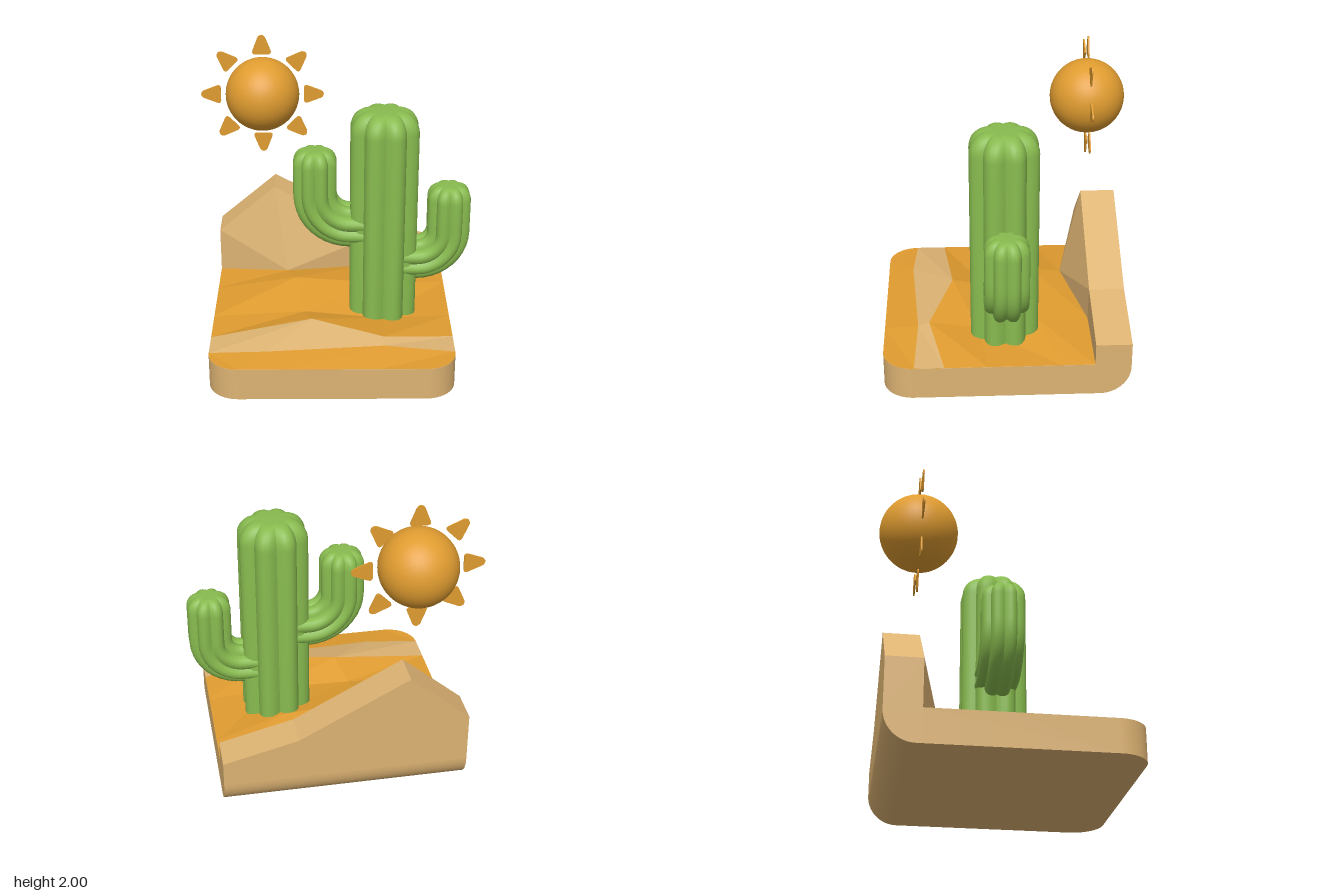
import * as THREE from 'three';
import { toCreasedNormals } from 'three/addons/utils/BufferGeometryUtils.js';

const mat = (name, color, side = THREE.FrontSide) => {
  const m = new THREE.MeshStandardMaterial({ color, side });
  m.name = name;
  return m;
};

// Flat-faced geometry from a list of triangles, each three [x, y, z] corners
function facets(tris) {
  const g = new THREE.BufferGeometry();
  g.setAttribute('position', new THREE.Float32BufferAttribute(tris.flat(2), 3));
  g.computeVertexNormals();
  return g;
}

// Strips between neighbouring rows; rows run from back to front
function terrain(rows) {
  const tris = [];
  for (let r = 0; r < rows.length - 1; r++) {
    for (let c = 0; c < rows[r].length - 1; c++) {
      const a = rows[r][c], b = rows[r][c + 1], d = rows[r + 1][c], e = rows[r + 1][c + 1];
      tris.push([a, d, b], [b, d, e]);
    }
  }
  return facets(tris);
}

// Ribbed limb: rings { x, y, tx, ty, s } swept in the xy plane
function ribbedLimb(rings, radius) {
  const ribs = 8, n = ribs * 6, pos = [], index = [];
  rings.forEach(({ x, y, tx, ty, s }) => {
    for (let i = 0; i < n; i++) {
      const a = (i / n) * Math.PI * 2;
      const rib = Math.abs(Math.sin(a * ribs / 2));
      const r = radius * s * (0.81 + 0.19 * rib);
      pos.push(x + ty * r * Math.cos(a), y - tx * r * Math.cos(a), r * Math.sin(a));
    }
  });
  for (let k = 0; k < rings.length - 1; k++) {
    for (let i = 0; i < n; i++) {
      const j = (i + 1) % n, a = k * n + i, b = k * n + j;
      index.push(a, a + n, b, b, a + n, b + n);
    }
  }
  const g = new THREE.BufferGeometry();
  g.setAttribute('position', new THREE.Float32BufferAttribute(pos, 3));
  g.setIndex(index);
  return toCreasedNormals(g, 0.6);
}

// Upright end of a limb: straight part, then a rounded crown of the given height
function crown(x, y0, top, h) {
  const rings = [{ x, y: y0, tx: 0, ty: 1, s: 1 }];
  for (let i = 0; i <= 8; i++) {
    const a = (i / 8) * Math.PI / 2;
    rings.push({ x, y: top - h + h * Math.sin(a), tx: 0, ty: 1, s: 0.42 + 0.58 * Math.cos(a) });
  }
  rings.push({ x, y: top - 0.006, tx: 0, ty: 1, s: 0 });
  return rings;
}

// Arm leaving the trunk sideways and bending upward around (cx, cy)
function armRings(side, startX, cx, cy, bend, top) {
  const rings = [{ x: startX, y: cy - bend, tx: side, ty: 0, s: 1 }];
  for (let i = 0; i <= 10; i++) {
    const a = (i / 10) * Math.PI / 2;
    rings.push({
      x: cx + side * bend * Math.sin(a), y: cy - bend * Math.cos(a),
      tx: side * Math.cos(a), ty: Math.sin(a), s: 1,
    });
  }
  return rings.concat(crown(cx + side * bend, cy + 0.03, top, 0.1));
}

export function createModel() {
  const model = new THREE.Group();
  model.name = 'desertScene';
  const tan = mat('tan stone', 0xddb373);
  const orange = mat('orange sand', 0xe09c30);
  const green = mat('cactus green', 0x88bb4f);
  const add = (name, geometry, material, parent = model) => {
    const m = new THREE.Mesh(geometry, material);
    m.name = name;
    parent.add(m);
    return m;
  };
  const L = -0.82, R = 0.79, F = 0.83, B = -0.78, W = -0.545, Y = 0.226;

  // Base slab with rounded front corners
  const plan = new THREE.Shape();
  plan.moveTo(L, -W);
  plan.lineTo(L, -F + 0.2);
  plan.absarc(L + 0.2, -F + 0.2, 0.2, Math.PI, Math.PI * 1.5);
  plan.absarc(R - 0.2, -F + 0.2, 0.2, Math.PI * 1.5, Math.PI * 2);
  plan.lineTo(R, -W);
  plan.closePath();
  const slab = new THREE.ExtrudeGeometry(plan, { depth: 0.223, bevelEnabled: false, curveSegments: 8 });
  add('base', toCreasedNormals(slab.rotateX(-Math.PI / 2), 0.6), tan);
  add('sandFloor', new THREE.ShapeGeometry(plan, 8).rotateX(-Math.PI / 2).translate(0, 0.225, 0), orange);

  // Rounded lower back edge
  const heel = new THREE.Shape();
  heel.moveTo(W, 0);
  heel.lineTo(W, 0.2);
  heel.lineTo(B, 0.2);
  heel.absarc(B + 0.2, 0.2, 0.2, Math.PI, Math.PI * 1.5);
  heel.closePath();
  const heelGeo = new THREE.ExtrudeGeometry(heel, { depth: R - L, bevelEnabled: false, curveSegments: 8 });
  add('baseBackEdge', toCreasedNormals(heelGeo.rotateY(-Math.PI / 2).translate(R, 0, 0), 0.6), tan);

  // Mountain wall
  const wall = new THREE.Shape([
    [L, 0.2], [R, 0.2], [R, 0.37], [0.3, 0.495], [-0.42, 0.88], [L, 0.54],
  ].map(([x, y]) => new THREE.Vector2(x, y)));
  add('mountainWall', new THREE.ExtrudeGeometry(wall, { depth: W - B, bevelEnabled: false })
    .translate(0, 0, B), tan);

  // Sloping foot of the mountain
  const foot = [-0.33, 0.285, -0.4], peak = [-0.42, 0.88, W], notch = [0.3, 0.495, W];
  const low = [L, 0.225, W], high = [L, 0.54, W], end = [0.26, 0.225, W];
  add('mountainSlope', facets([
    [low, foot, high], [high, foot, peak], [peak, foot, notch], [notch, foot, end],
  ]), tan);

  // Dunes, with a pale stripe on the front ridge
  const crest = [[L, Y, 0.43], [-0.15, 0.33, 0.37], [0.33, 0.285, 0.53], [R, Y, 0.43]];
  const toe = [[L, Y, 0.63], [-0.45, 0.25, 0.655], [0.33, 0.262, 0.605], [R, Y, 0.625]];
  add('dunes', terrain([
    [[L, Y, W], foot, [0.26, 0.25, W], [R, Y, W]],
    [[L, Y, -0.25], [-0.27, 0.335, -0.2], [0.33, 0.29, -0.2], [R, Y, -0.33]],
    [[L, Y, 0.15], [-0.2, 0.26, 0.15], [0.33, 0.235, 0.2], [R, Y, 0.15]],
    crest,
  ]), orange);
  add('duneStripe', terrain([crest, toe]), tan);
  add('frontDune', terrain([
    toe, [[L + 0.2, Y, F], [-0.3, Y, F], [0.3, Y, F], [R - 0.2, Y, F]],
  ]), orange);

  // Cactus
  const cactus = new THREE.Group();
  cactus.name = 'cactus';
  cactus.position.z = 0.026;
  model.add(cactus);
  add('trunk', ribbedLimb(crown(0.333, 0.2, 1.685, 0.14), 0.238), green, cactus);
  add('leftArm', ribbedLimb(armRings(1, 0.4, 0.56, 0.83, 0.21, 1.155), 0.151), green, cactus);
  add('rightArm', ribbedLimb(armRings(-1, 0.26, 0.11, 1.1, 0.235, 1.41), 0.153), green, cactus);

  // Sun ball with eight flat rays
  const sun = new THREE.Group();
  sun.name = 'sun';
  sun.position.set(-0.49, 1.575, -0.577);
  model.add(sun);
  add('sunBall', new THREE.SphereGeometry(0.255, 40, 28), orange, sun);
  const ray = new THREE.Shape();
  ray.moveTo(-0.045, 0.288);
  ray.lineTo(0.045, 0.288);
  ray.quadraticCurveTo(0.07, 0.29, 0.062, 0.315);
  ray.lineTo(0.026, 0.408);
  ray.quadraticCurveTo(0, 0.442, -0.026, 0.408);
  ray.lineTo(-0.062, 0.315);
  ray.quadraticCurveTo(-0.07, 0.29, -0.045, 0.288);
  const rayGeo = new THREE.ExtrudeGeometry(ray, { depth: 0.01, bevelEnabled: false, curveSegments: 6 })
    .translate(0, 0, -0.005);
  for (let i = 0; i < 8; i++) add('sunRay', rayGeo, orange, sun).rotation.z = (i * Math.PI) / 4;

  return model;
}
